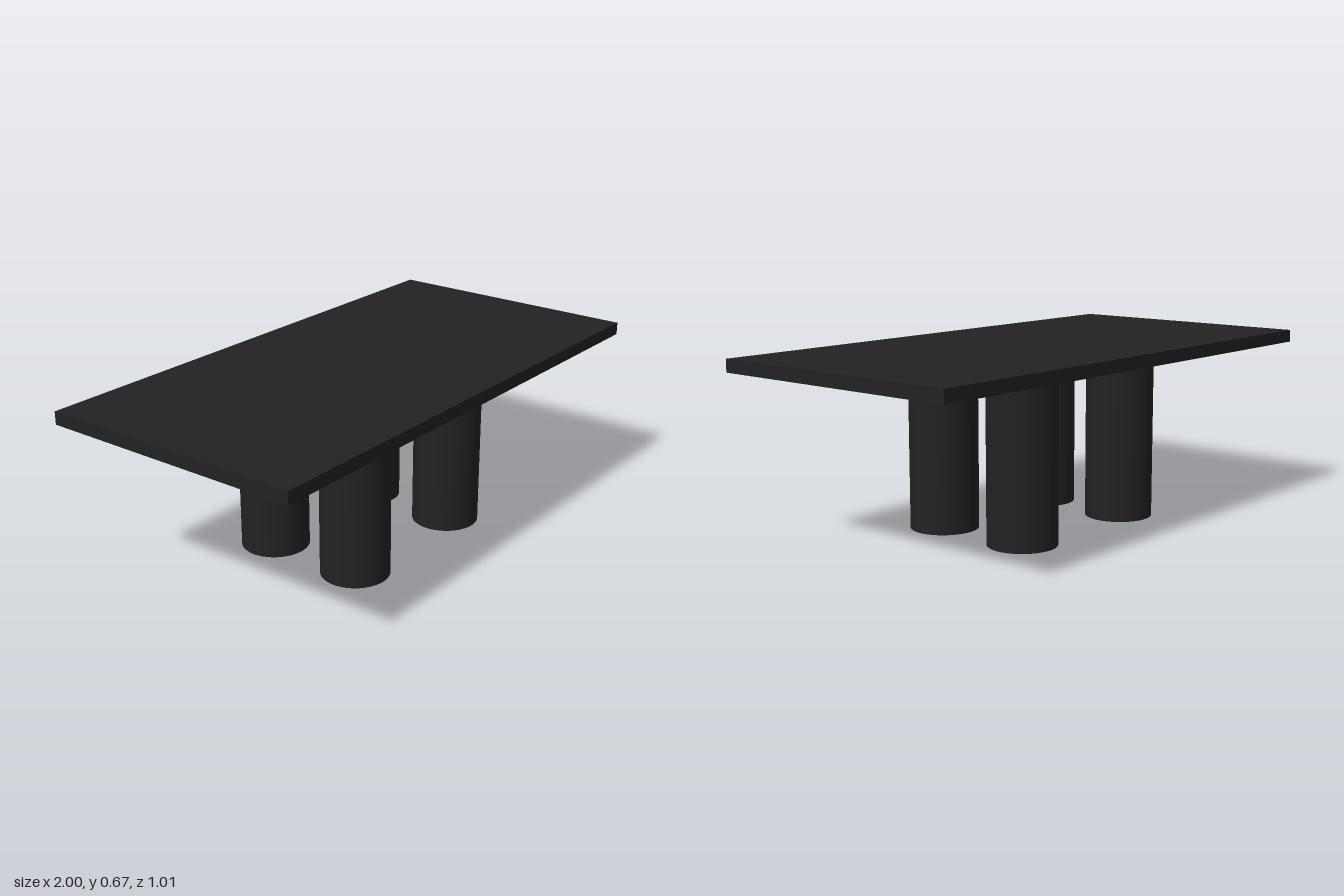
import * as THREE from 'three';

export function createModel() {
  const model = new THREE.Group();
  model.name = 'table';

  const black = new THREE.MeshStandardMaterial({ color: 0x222222 });
  black.name = 'matte black';

  const legHeight = 0.625;
  const topThickness = 0.047;

  // Flat rectangular table top
  const top = new THREE.Mesh(new THREE.BoxGeometry(2, topThickness, 1.014), black);
  top.name = 'tableTop';
  top.position.y = legHeight + topThickness / 2;
  model.add(top);

  // Four thick round legs clustered near the centre
  const legGeometry = new THREE.CylinderGeometry(0.127, 0.127, legHeight, 64);
  const sides = [[1, 'Left'], [-1, 'Right']];
  const ends = [[1, 'front'], [-1, 'back']];
  for (const [sx, side] of sides) {
    for (const [sz, end] of ends) {
      const leg = new THREE.Mesh(legGeometry, black);
      leg.name = `${end}${side}Leg`;
      leg.position.set(sx * 0.283, legHeight / 2, sz * 0.189);
      model.add(leg);
    }
  }

  return model;
}
